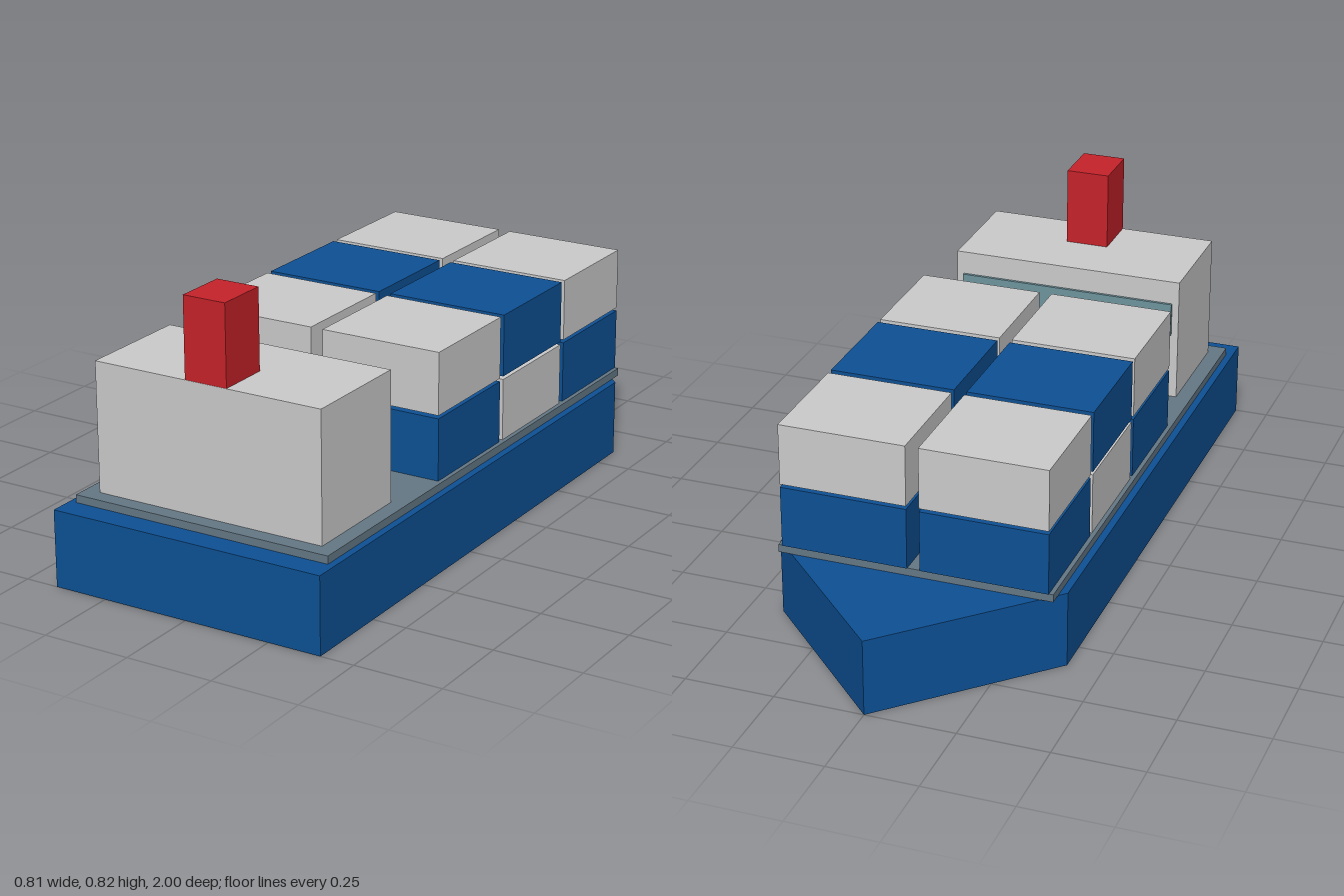
import * as THREE from 'three';

const material = (color) => new THREE.MeshStandardMaterial({ color, flatShading: true });

export function createModel() {
  const ship = new THREE.Group();
  ship.name = 'containerShip';
  const blue = material(0x0d5094);
  const grey = material(0xcccccc);
  const red = material(0xc62229);
  const deckGrey = material(0x657886);
  const glass = material(0x6f959f);

  // Box given by its centre x, base y, centre z and size
  function box(name, mat, x, y, z, w, h, d, parent = ship) {
    const mesh = new THREE.Mesh(new THREE.BoxGeometry(w, h, d), mat);
    mesh.name = name;
    mesh.position.set(x, y + h / 2, z);
    parent.add(mesh);
    return mesh;
  }

  // Hull: straight sides with a pointed bow at -z
  const hullTop = 0.216, half = 0.404, shoulder = 0.596;
  const outline = new THREE.Shape([
    new THREE.Vector2(-half, -1),
    new THREE.Vector2(half, -1),
    new THREE.Vector2(half, shoulder),
    new THREE.Vector2(0, 1),
    new THREE.Vector2(-half, shoulder),
  ]);
  const hullGeometry = new THREE.ExtrudeGeometry(outline, { depth: hullTop, bevelEnabled: false });
  hullGeometry.rotateX(-Math.PI / 2);
  const hull = new THREE.Mesh(hullGeometry, blue);
  hull.name = 'hull';
  ship.add(hull);

  // Deck plate, slightly overhanging the bow shoulders
  const deckTop = 0.238;
  box('deck', deckGrey, 0, hullTop, 0.139, 0.768, deckTop - hullTop, 1.584);

  // Containers: three rows, two columns, two tiers in alternating colours
  const containers = new THREE.Group();
  containers.name = 'containers';
  ship.add(containers);
  for (let row = 0; row < 3; row++) {
    for (let tier = 0; tier < 2; tier++) {
      for (const side of [-1, 1]) {
        const mat = (row + tier) % 2 === 0 ? blue : grey;
        box('container', mat, side * 0.195, deckTop + tier * 0.183, 0.205 - row * 0.348,
          0.354, 0.174, 0.33, containers);
      }
    }
  }

  // Deckhouse with the bridge window facing the bow, and funnel
  box('deckhouse', grey, 0, deckTop, 0.722, 0.68, 0.362, 0.33);
  box('bridgeWindow', glass, 0, 0.434, 0.556, 0.64, 0.098, 0.014);
  box('funnel', red, 0, 0.6, 0.811, 0.125, 0.224, 0.15);

  return ship;
}
